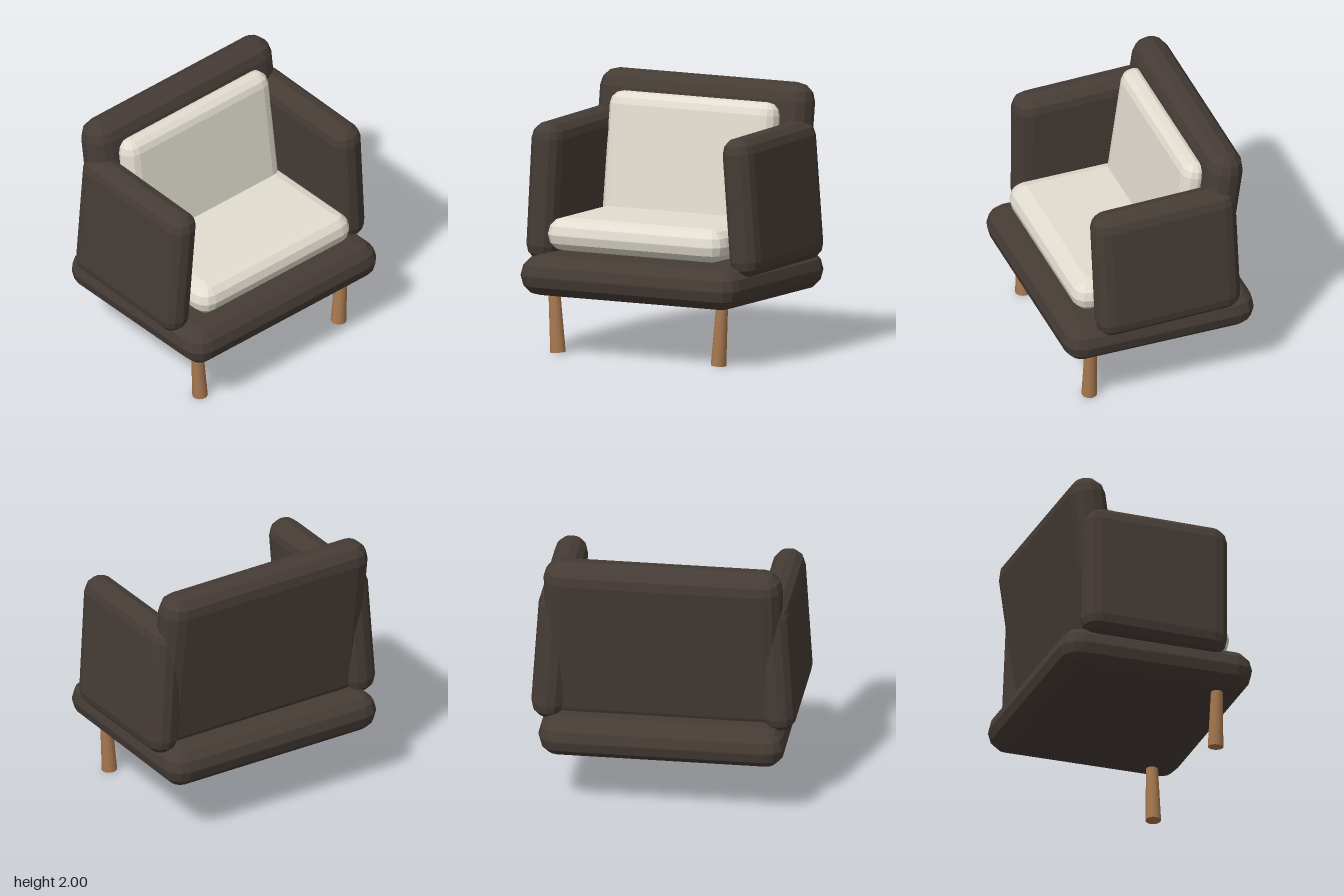
import * as THREE from 'three';
import { ConvexGeometry } from 'three/addons/geometries/ConvexGeometry.js';

const fabric = new THREE.MeshStandardMaterial({ color: 0x463c36, flatShading: true });
const cream = new THREE.MeshStandardMaterial({ color: 0xe2ddd0, flatShading: true });
const wood = new THREE.MeshStandardMaterial({ color: 0xa87950 });

// Padded block: hull of eight faceted sphere corners, three facets per quarter turn
function padGeometry(w, h, d, r) {
  const points = [];
  const steps = 3;
  for (const sx of [-1, 1]) for (const sy of [-1, 1]) for (const sz of [-1, 1]) {
    for (let i = 0; i <= steps; i++) {
      const lat = (i / steps) * Math.PI / 2;
      for (let j = 0; j <= (i === steps ? 0 : steps); j++) {
        const lon = (j / steps) * Math.PI / 2;
        points.push(new THREE.Vector3(
          sx * (w / 2 - r + r * Math.cos(lat) * Math.cos(lon)),
          sy * (h / 2 - r + r * Math.sin(lat)),
          sz * (d / 2 - r + r * Math.cos(lat) * Math.sin(lon))
        ));
      }
    }
  }
  return new ConvexGeometry(points);
}

function pad(name, size, r, material, position, rotation = [0, 0, 0]) {
  const mesh = new THREE.Mesh(padGeometry(...size, r), material);
  mesh.name = name;
  mesh.position.set(...position);
  mesh.rotation.set(...rotation);
  return mesh;
}

export function createModel() {
  const chair = new THREE.Group();
  chair.name = 'armchair';
  const lean = -0.137;

  // Base and loose seat cushion
  chair.add(pad('base', [1.85, 0.305, 1.51], 0.148, fabric, [0, 0.59, 0]));
  chair.add(pad('seatCushion', [1.505, 0.25, 1.07], 0.122, cream, [0, 0.895, 0.095]));

  // Reclined backrest and back cushion
  chair.add(pad('backrest', [1.79, 1.36, 0.285], 0.139, fabric, [0, 1.325, -0.462], [lean, 0, 0]));
  chair.add(pad('backCushion', [1.425, 1.0, 0.205], 0.1, cream, [0, 1.365, -0.295], [lean, 0, 0]));

  // Mirrored arms and front legs, splayed slightly
  for (const s of [-1, 1]) {
    const side = s > 0 ? 'left' : 'right';
    chair.add(pad(side + 'Arm', [0.25, 1.05, 1.14], 0.12, fabric,
      [s * 0.842, 1.198, -0.035], [0.02, 0, s * 0.066]));

    const leg = new THREE.Mesh(new THREE.CylinderGeometry(0.043, 0.058, 0.5, 16), wood);
    leg.name = side + 'FrontLeg';
    leg.position.set(s * 0.702, 0.253, 0.508);
    leg.rotation.z = -s * 0.068;
    chair.add(leg);
  }
  return chair;
}
